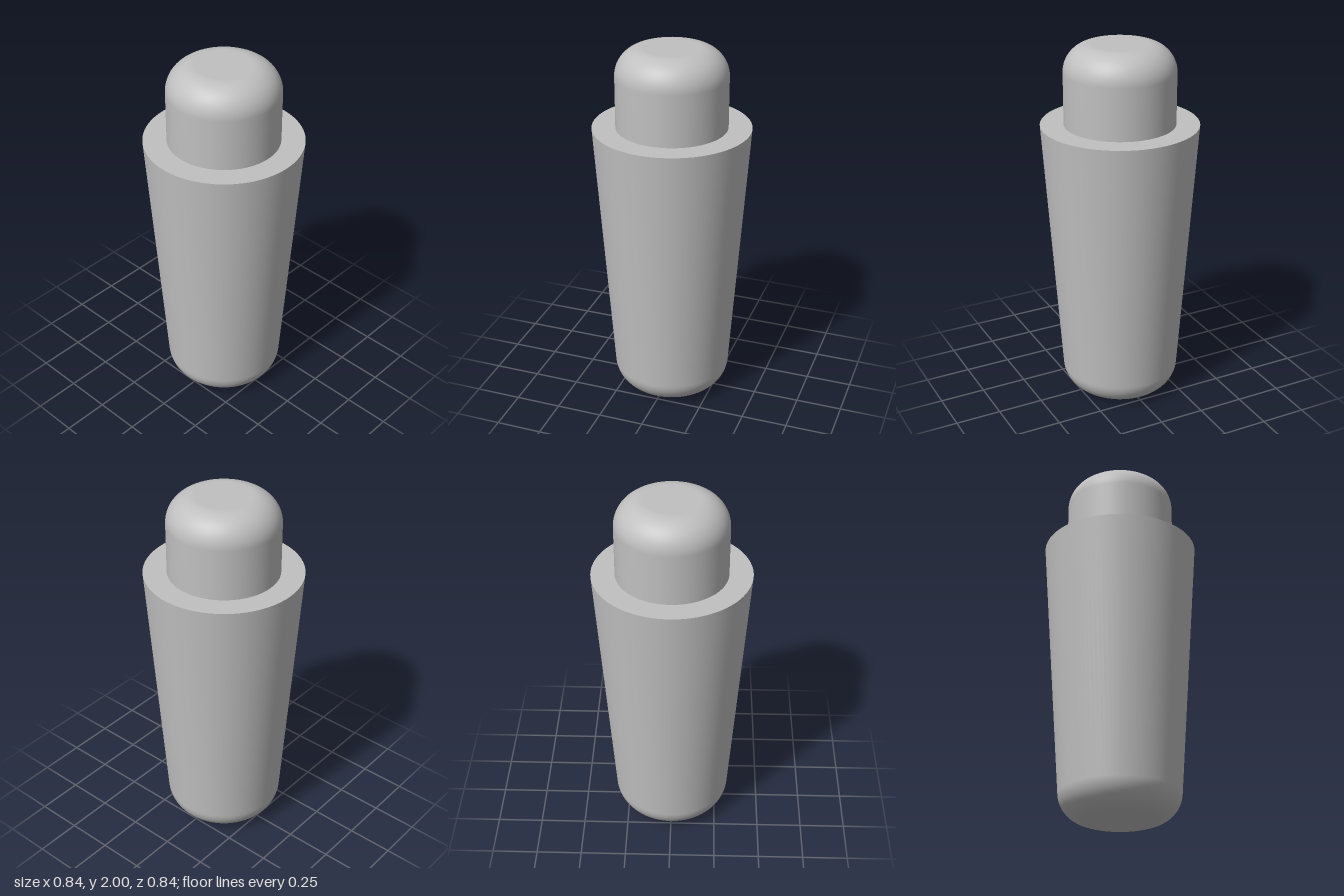
import * as THREE from 'three';

const SEGMENTS = 96;
const ROUND = 0.15;

// Points of a rounded edge, centred at (cx, cy), between two angles
function arc(cx, cy, from, to, steps = 16) {
  return Array.from({ length: steps + 1 }, (_, i) => {
    const a = from + (to - from) * i / steps;
    return new THREE.Vector2(cx + ROUND * Math.cos(a), cy + ROUND * Math.sin(a));
  });
}

export function createModel() {
  const group = new THREE.Group();
  const grey = new THREE.MeshStandardMaterial({ color: 0xc0c0c0 });
  grey.name = 'plain grey';

  const addLathe = (name, points) => {
    const mesh = new THREE.Mesh(new THREE.LatheGeometry(points, SEGMENTS), grey);
    mesh.name = name;
    group.add(mesh);
  };

  const shoulderY = 1.57, shoulderR = 0.422, neckR = 0.297;
  const taper = Math.atan(0.069);

  // Tapered body with a rounded foot
  addLathe('body', [
    new THREE.Vector2(0, 0),
    ...arc(0.173, ROUND, -Math.PI / 2, -taper),
    new THREE.Vector2(shoulderR, shoulderY),
  ]);

  // Flat ledge between body and neck, kept separate for crisp edges
  addLathe('shoulder', [
    new THREE.Vector2(shoulderR, shoulderY),
    new THREE.Vector2(neckR, shoulderY),
  ]);

  // Straight neck with a rounded top
  addLathe('neck', [
    new THREE.Vector2(neckR, shoulderY),
    ...arc(neckR - ROUND, 2 - ROUND, 0, Math.PI / 2),
    new THREE.Vector2(0, 2),
  ]);

  return group;
}
